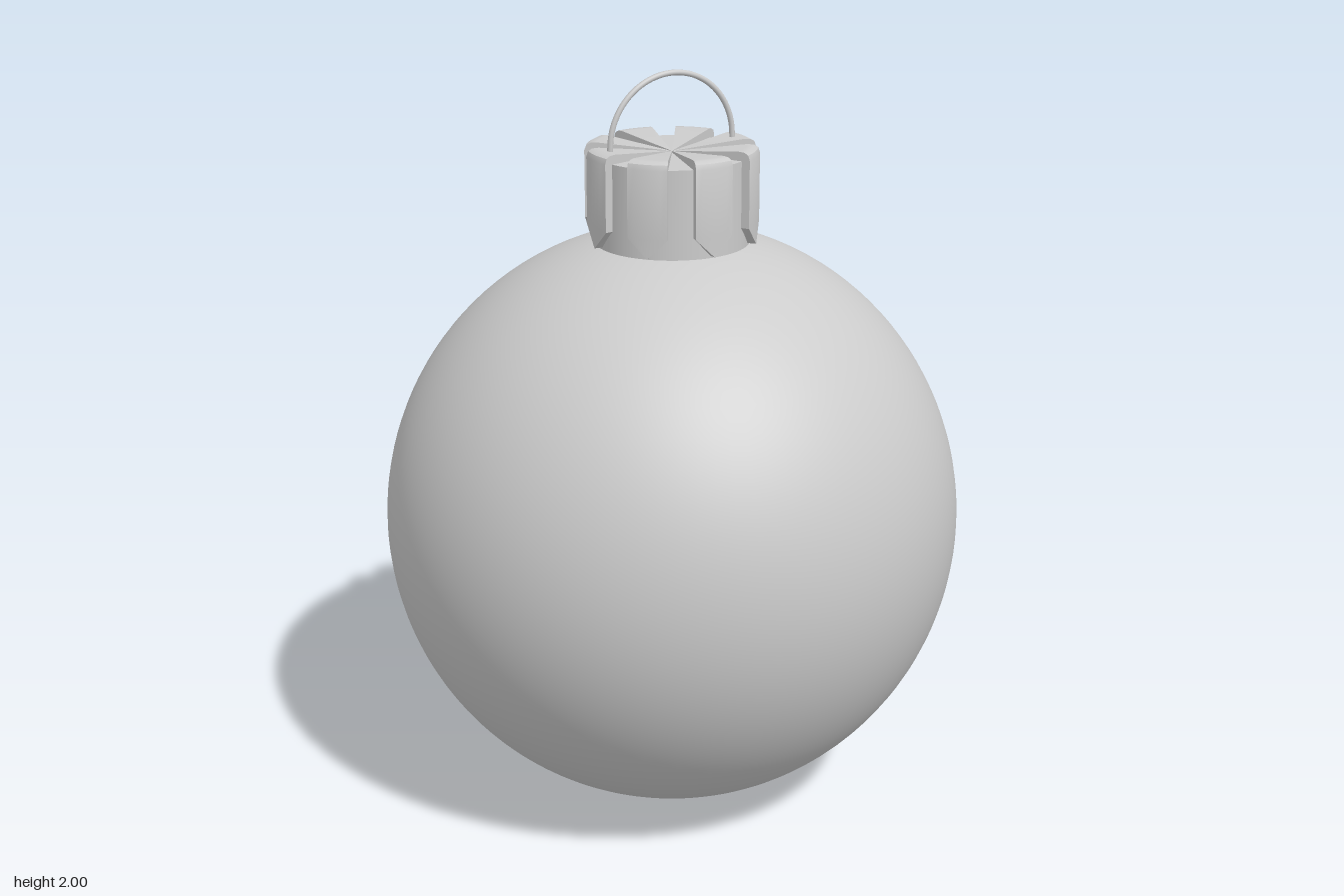
import * as THREE from 'three';
import { toCreasedNormals } from 'three/addons/utils/BufferGeometryUtils.js';

const material = new THREE.MeshStandardMaterial({ color: 0xcccccc });
const rad = THREE.MathUtils.degToRad;

function addMesh(parent, name, geometry) {
  const mesh = new THREE.Mesh(geometry, material);
  mesh.name = name;
  parent.add(mesh);
  return mesh;
}

// One raised rib of the cap: a wedge on top that folds over the rim and ends in a point.
function ribGeometry() {
  const half = rad(13.5);
  // outer radius, outer y, inner radius, inner y, half angle
  const rows = [
    [0.002, 1.789, 0.002, 1.77, half],
    [0.195, 1.809, 0.19, 1.77, half],
    [0.212, 1.808, 0.2, 1.77, half],
    [0.223, 1.802, 0.2, 1.77, half],
    [0.228, 1.788, 0.2, 1.77, half],
    [0.228, 1.61, 0.2, 1.61, half],
    [0.228, 1.558, 0.2, 1.558, 0.001],
  ];
  const steps = 6;
  const columns = steps + 3; // outer face plus one inner column on each side
  const positions = [];
  const index = [];
  rows.forEach(([r, y, innerR, innerY, h], i) => {
    for (let j = 0; j < columns; j++) {
      const inner = j === 0 || j === columns - 1;
      const t = THREE.MathUtils.clamp((j - 1) / steps, 0, 1);
      const a = h * (2 * t - 1);
      const radius = inner ? innerR : r;
      positions.push(radius * Math.sin(a), inner ? innerY : y, radius * Math.cos(a));
      if (i < rows.length - 1 && j < columns - 1) {
        const k = i * columns + j;
        const n = k + columns;
        index.push(k, n, k + 1, n, n + 1, k + 1);
      }
    }
  });
  const geometry = new THREE.BufferGeometry();
  geometry.setAttribute('position', new THREE.Float32BufferAttribute(positions, 3));
  geometry.setIndex(index);
  return toCreasedNormals(geometry, rad(40));
}

// Wire arch with short straight legs sunk into the cap.
function loopGeometry() {
  const radius = 0.18;
  const baseY = 1.8125;
  const points = [new THREE.Vector3(radius, 1.77, 0)];
  for (let i = 0; i <= 16; i++) {
    const a = (i / 16) * Math.PI;
    points.push(new THREE.Vector3(radius * Math.cos(a), baseY + radius * Math.sin(a), 0));
  }
  points.push(new THREE.Vector3(-radius, 1.77, 0));
  return new THREE.TubeGeometry(new THREE.CatmullRomCurve3(points), 64, 0.0075, 10);
}

export function createModel() {
  const model = new THREE.Group();
  model.name = 'ornament';

  // Glass ball, very slightly taller than wide
  const ball = new THREE.SphereGeometry(1, 96, 64);
  ball.scale(0.775, 0.79, 0.775);
  ball.translate(0, 0.79, 0);
  addMesh(model, 'ball', ball);

  // Cap: plain core with eight folded ribs
  const cap = new THREE.Group();
  cap.name = 'cap';
  model.add(cap);
  const core = new THREE.CylinderGeometry(0.205, 0.205, 0.285, 64);
  core.translate(0, 1.6425, 0);
  addMesh(cap, 'capCore', core);
  const rib = ribGeometry();
  for (let i = 0; i < 8; i++) {
    addMesh(cap, 'capRib', rib).rotation.y = rad(31 + 45 * i);
  }

  // Hanging loop, lined up with two opposite ribs
  addMesh(model, 'hangingLoop', loopGeometry()).rotation.y = rad(-14);

  return model;
}
